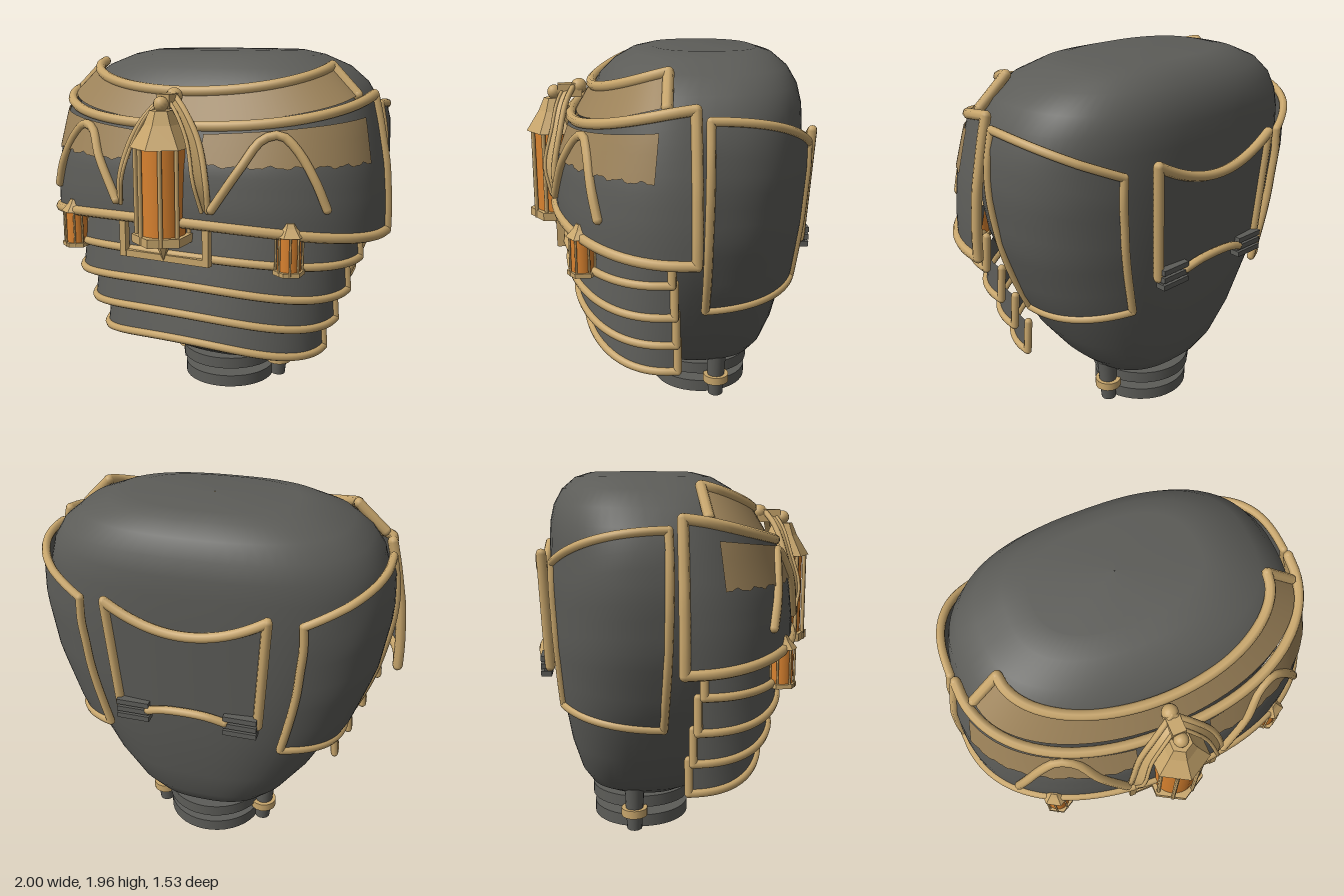
import * as THREE from 'three';
import { mergeVertices } from 'three/addons/utils/BufferGeometryUtils.js';

const mat = (name, color) => new THREE.MeshStandardMaterial({ name, color, side: THREE.DoubleSide });
const V = (x, y, z) => new THREE.Vector3(x, y, z);
const spow = (v, p) => Math.sign(v) * Math.pow(Math.abs(v), p);

// Linear lookup in rows of [key, ...values]
function at(table, k) {
  let i = 0;
  while (i < table.length - 2 && k > table[i + 1][0]) i++;
  const a = table[i], b = table[i + 1];
  const t = Math.min(1, Math.max(0, (k - a[0]) / (b[0] - a[0])));
  return a.slice(1).map((v, j) => v + (b[j + 1] - v) * t);
}

// Surface swept by fn(u, v), both 0..1
function grid(fn, nu, nv) {
  const pos = [], idx = [], w = nu + 1;
  for (let j = 0; j <= nv; j++)
    for (let i = 0; i <= nu; i++) pos.push(...fn(i / nu, j / nv).toArray());
  for (let j = 0; j < nv; j++)
    for (let i = 0; i < nu; i++) {
      const a = j * w + i;
      idx.push(a, a + 1, a + w + 1, a, a + w + 1, a + w);
    }
  let g = new THREE.BufferGeometry();
  g.setAttribute('position', new THREE.Float32BufferAttribute(pos, 3));
  g.setIndex(idx);
  g = mergeVertices(g, 1e-5);
  g.computeVertexNormals();
  return g;
}

// Body sections: height, half width, back z, front z
const BODY = [
  [0.198, 0.002, -0.202, -0.198], [0.2, 0.27, -0.4, 0.04], [0.25, 0.36, -0.5, 0.13], [0.33, 0.45, -0.55, 0.21],
  [0.5, 0.58, -0.6, 0.3], [0.8, 0.74, -0.65, 0.36], [1.1, 0.845, -0.675, 0.4],
  [1.4, 0.89, -0.69, 0.42], [1.6, 0.88, -0.69, 0.42], [1.7, 0.85, -0.685, 0.41], [1.79, 0.79, -0.665, 0.36],
  [1.87, 0.69, -0.62, 0.28], [1.93, 0.54, -0.55, 0.18], [1.955, 0.42, -0.47, 0.08], [1.962, 0.002, -0.202, -0.198]];
function bodyPoint(a, y, off = 0) {
  const [w, zb, zf] = at(BODY, y);
  return V((w + off) * spow(Math.sin(a), 0.78), y,
    (zb + zf) / 2 + ((zf - zb) / 2 + off) * spow(Math.cos(a), 0.78));
}

// Chest plate sections: height, half width, depth
const CHEST = [[1.04, 0.972, 0.67], [1.2, 0.97, 0.67], [1.4, 0.95, 0.65], [1.6, 0.91, 0.575], [1.74, 0.875, 0.52]];
const CP = 0.88;
function chestPoint(a, y, off = 0) {
  const [w, d] = at(CHEST, y);
  return V((w + off) * spow(Math.sin(a), CP), y, -0.055 + (d + off) * spow(Math.cos(a), CP));
}
const chestAt = (x, y, off) => chestPoint(Math.asin(spow(x / at(CHEST, y)[0], 1 / CP)), y, off);
const chestTop = a => 1.74 - 0.14 * Math.pow(Math.abs(Math.cos(a)), 1.2);
const chestBottom = a => 1.04 + 0.09 * Math.pow(Math.cos(a), 2);

export function createModel() {
  const root = new THREE.Group();
  root.name = 'armouredVessel';
  const dark = mat('darkIron', 0x5c5c58), gold = mat('brass', 0xc8a66c);
  const tan = mat('tanPaint', 0x9c8259), amber = mat('amberGlass', 0xd9822f);

  const add = (name, geo, m, x = 0, y = 0, z = 0, parent = root) => {
    const mesh = new THREE.Mesh(geo, m);
    mesh.name = name;
    mesh.position.set(x, y, z);
    parent.add(mesh);
    return mesh;
  };
  // Round rail with ball ends
  const rail = (name, pts, r, m = gold) => {
    const curve = new THREE.CatmullRomCurve3(pts);
    add(name, new THREE.TubeGeometry(curve, Math.max(8, pts.length * 3), r, 8), m);
    for (const p of [pts[0], pts[pts.length - 1]])
      add(name + 'End', new THREE.SphereGeometry(r, 8, 6), m, p.x, p.y, p.z);
  };
  // Plate with rails on chosen borders: b(ottom) t(op) l(eft) r(ight)
  const plate = (name, fn, m, edges, r, nu = 40, nv = 8) => {
    add(name, grid(fn, nu, nv), m);
    const line = (n, f) => Array.from({ length: n + 1 }, (_, i) => f(i / n));
    if (edges.includes('b')) rail(name + 'BottomRail', line(20, t => fn(t, 0)), r);
    if (edges.includes('t')) rail(name + 'TopRail', line(20, t => fn(t, 1)), r);
    if (edges.includes('l')) rail(name + 'SideRail', line(6, t => fn(0, t)), r);
    if (edges.includes('r')) rail(name + 'SideRail', line(6, t => fn(1, t)), r);
  };
  const sweep = u => (u - 0.5) * Math.PI;

  // Main body
  const n = BODY.length - 1;
  add('body', grid((u, v) => bodyPoint(u * Math.PI * 2, BODY[Math.round(v * n)][0]), 72, n), dark);

  // Foot discs and posts
  add('upperDisc', new THREE.CylinderGeometry(0.28, 0.28, 0.065, 40), dark, 0, 0.152, -0.205);
  add('lowerDisc', new THREE.CylinderGeometry(0.27, 0.27, 0.068, 40), dark, 0, 0.034, -0.205);
  for (const s of [1, -1]) {
    const post = add('post', new THREE.CylinderGeometry(0.055, 0.042, 0.25, 16), dark, s * 0.308, 0.135, -0.26);
    post.rotation.z = -s * 0.06;
    add('postRing', new THREE.CylinderGeometry(0.072, 0.072, 0.045, 16), gold, s * 0.305, 0.113, -0.26);
  }

  // Chest plate
  plate('chestPlate', (u, v) => {
    const a = sweep(u), y0 = chestBottom(a);
    return chestPoint(a, y0 + (chestTop(a) - y0) * v);
  }, dark, 'btlr', 0.027, 48, 10);

  // Collar plate
  plate('collarPlate', (u, v) => {
    const a = sweep(u), s = Math.sin(a), c = Math.cos(a);
    const low = V(0.825 * s, 1.745 - 0.13 * Math.pow(c, 1.2), 0.07 + 0.42 * c);
    return low.lerp(V(0.68 * s, 1.885 - 0.125 * Math.pow(c, 1.2), 0.05 + 0.355 * c), v);
  }, tan, 'tlr', 0.027);

  // Painted chest bands and arched rails
  for (const s of [1, -1]) {
    add('chestStripe', grid((u, v) => {
      const a = s * (s > 0 ? 0.17 + 1.15 * u : 1.32 - 1.15 * u), k = Math.abs(a);
      const y0 = 1.42 + 0.007 * Math.sin(k * 37) + 0.004 * Math.sin(k * 83);
      return chestPoint(a, y0 + (1.555 + 0.065 * k - y0) * v, 0.008);
    }, 48, 5), tan);
    rail('archRail', [[0.78, 1.22], [0.73, 1.35], [0.64, 1.5], [0.56, 1.57], [0.48, 1.55], [0.4, 1.42], [0.27, 1.21]]
      .map(([x, y]) => chestAt(s * x, y, 0.012)), 0.024);
  }

  // Overlapping belly bands: end y, centre y, half width, end z, front z
  [[0.35, 0.435, 0.67, 0, 0.455], [0.53, 0.605, 0.735, 0.015, 0.51],
    [0.71, 0.78, 0.8, 0.03, 0.55], [0.905, 0.945, 0.865, 0.05, 0.57]].forEach(([ye, yc, w, z0, zf]) => {
    plate('bellyBand', (u, v) => {
      const a = sweep(u), k = 0.035 * v;
      return V((w - 0.4 * k) * spow(Math.sin(a), 0.9),
        ye + (yc - ye) * Math.pow(Math.cos(a), 3) + 0.175 * v,
        z0 + (zf - z0 - k) * Math.pow(Math.abs(Math.cos(a)), 0.9));
    }, dark, 'blr', 0.022, 40, 3);
  });

  // Side panels
  for (const s of [1, -1]) {
    plate('sidePanel', (u, v) => {
      const t = s > 0 ? u : 1 - u, a = 1.56 + 1.03 * t;
      const y0 = 0.71 + 0.07 * t, y1 = 1.69 - 0.03 * t - 0.14 * t * t;
      return bodyPoint(s * a, y0 + (y1 - y0) * v, 0.038);
    }, dark, 'btlr', 0.022, 20, 12);
  }

  // Back panel, bar and clips
  plate('backPanel', (u, v) => {
    const x = (0.5 - u) * (0.72 + 0.08 * v), q = Math.pow(u * 2 - 1, 2);
    return V(x, 0.96 + (0.47 + 0.12 * q) * v, -0.715 - 0.025 * v + 0.02 * q);
  }, dark, 'tlr', 0.026, 16, 6);
  rail('backBar', [V(-0.2, 0.97, -0.73), V(-0.1, 1.0, -0.745), V(0.1, 1.0, -0.745), V(0.2, 0.97, -0.73)], 0.022);
  for (const s of [1, -1]) for (const y of [0.92, 0.96, 1.0])
    add('backClip', new THREE.BoxGeometry(0.17, 0.028, 0.055), dark, s * 0.28, y, -0.715);
  for (const s of [1, -1])
    add('clipCore', new THREE.BoxGeometry(0.15, 0.1, 0.04), dark, s * 0.28, 0.96, -0.705);

  // Six-sided lanterns
  const hex = pts => {
    const g = new THREE.LatheGeometry(pts.map(p => new THREE.Vector2(...p)), 6).toNonIndexed();
    g.computeVertexNormals();
    return g;
  };
  const lantern = (name, x, z, R, y0, y1, roof) => {
    const g = new THREE.Group();
    g.name = name;
    g.position.set(x, 0, z);
    root.add(g);
    const h = R * 0.28;
    add('lanternBase', hex([[0, y0], [R, y0], [R, y0 + h], [0, y0 + h]]), gold, 0, 0, 0, g);
    add('lanternGlass', new THREE.CylinderGeometry(R * 0.74, R * 0.74, y1 - y0, 24), amber, 0, (y0 + y1) / 2, 0, g);
    for (const d of [25, 62, 118, 155, 205, 242, 298, 335]) {
      const a = d * Math.PI / 180, r = R * 0.84;
      add('lanternBar', new THREE.CylinderGeometry(R * 0.07, R * 0.07, y1 - y0, 6), gold,
        Math.sin(a) * r, (y0 + y1) / 2, Math.cos(a) * r, g);
    }
    add('lanternRoof', hex([[0, y1], [R, y1], [R * 0.55, y1 + roof * 0.62], [R * 0.36, y1 + roof], [0, y1 + roof]]),
      gold, 0, 0, 0, g);
    return g;
  };
  const main = lantern('mainLantern', 0, 0.605, 0.158, 1.02, 1.5, 0.18);
  add('lanternKnob', new THREE.SphereGeometry(0.038, 14, 10), gold, 0, 1.71, 0, main);
  add('lanternSpike', hex([[0, 0.915], [0.045, 1.02]]), gold, 0, 0, 0, main);
  for (const s of [1, -1]) lantern('smallLantern', s * 0.63, 0.47, 0.08, 0.895, 1.09, 0.065);

  // Pointed hood around the main lantern
  const outer = new THREE.CatmullRomCurve3([V(0.25, 1.2, 0.6), V(0.245, 1.33, 0.61), V(0.19, 1.53, 0.575), V(0.1, 1.67, 0.54), V(0, 1.76, 0.49)]);
  const inner = new THREE.CatmullRomCurve3([V(0.23, 1.2, 0.63), V(0.2, 1.35, 0.66), V(0.15, 1.53, 0.62), V(0.08, 1.66, 0.59), V(0, 1.74, 0.55)]);
  const flip = V(-1, 1, 1);
  for (const s of [1, -1]) {
    const side = p => (s < 0 ? p.multiply(flip) : p);
    add('hood', grid((u, v) => side(outer.getPoint(v).lerp(inner.getPoint(v), u)), 2, 16), gold);
    rail('hoodOuterRail', outer.getPoints(10).map(side), 0.016);
    rail('hoodInnerRail', inner.getPoints(10).map(side), 0.01);
    // Hanger frame below the hood
    add('hangerSide', new THREE.BoxGeometry(0.035, 0.19, 0.04), gold, s * 0.24, 1.01, 0.59);
  }
  add('hangerBar', new THREE.BoxGeometry(0.515, 0.035, 0.04), gold, 0, 0.93, 0.585);
  add('hoodBracket', new THREE.BoxGeometry(0.07, 0.07, 0.13), gold, 0, 1.72, 0.52);
  add('hoodKnob', new THREE.SphereGeometry(0.042, 14, 10), gold, 0, 1.74, 0.47);

  return root;
}
